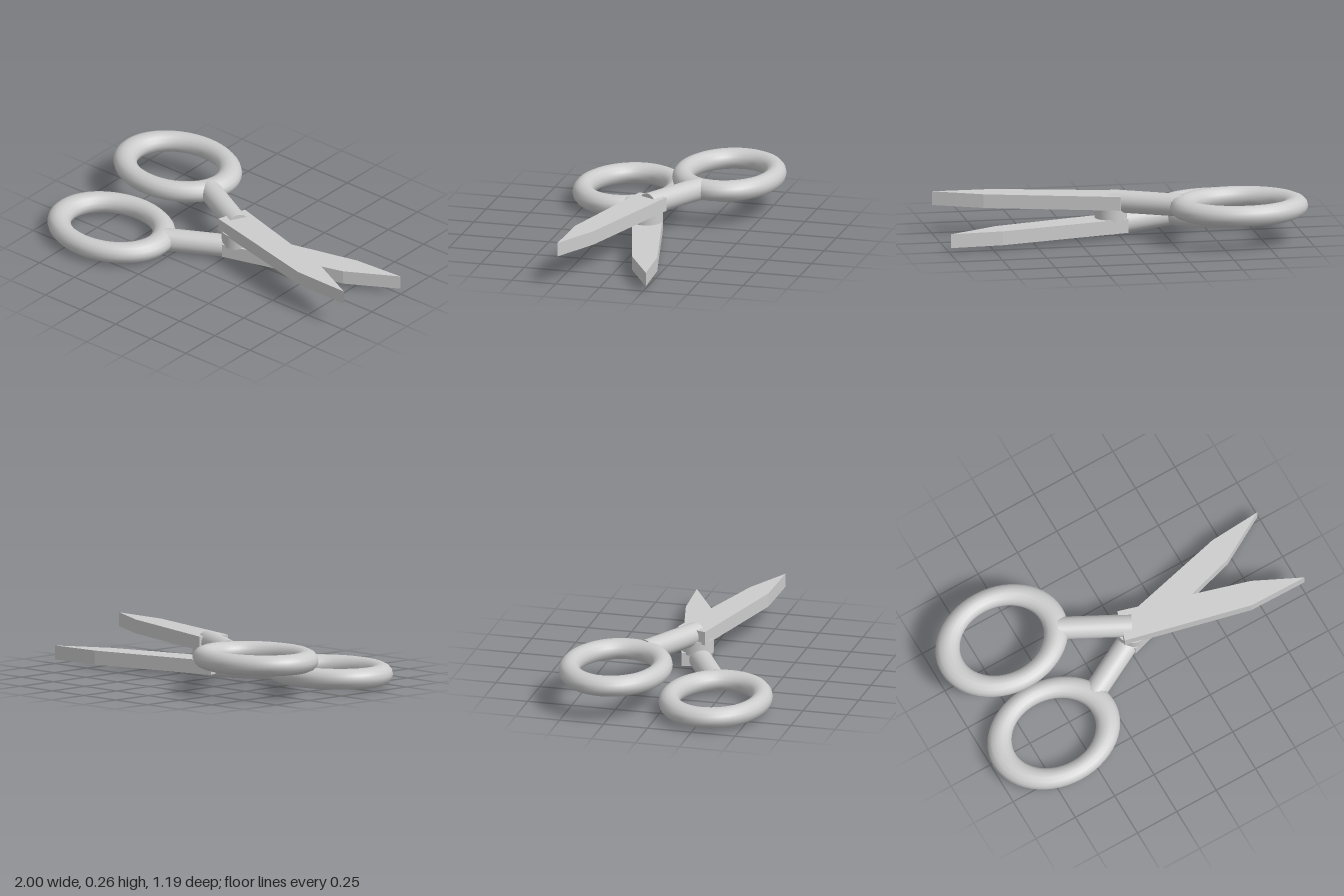
import * as THREE from 'three';

const steel = new THREE.MeshStandardMaterial({ color: 0xcccccc });
steel.name = 'steel';

function add(parent, name, geometry) {
  const mesh = new THREE.Mesh(geometry, steel);
  mesh.name = name;
  parent.add(mesh);
  return mesh;
}

// One half: oval finger ring, round shank and flat blade.
// side = -1 puts the ring at the back, +1 at the front.
function half(name, side, o) {
  const group = new THREE.Group();
  group.name = name;

  // finger ring, an oval torus lying flat
  const ring = new THREE.TorusGeometry(0.3125, 0.07, 14, 56);
  ring.rotateX(Math.PI / 2);
  ring.scale(1, 0.82, 0.806);
  add(group, 'fingerRing', ring).position.set(-0.618, o.ringY, side * 0.285);

  // shank from the ring to the pivot
  const a = new THREE.Vector3(-0.316, o.shankY, side * 0.195);
  const b = new THREE.Vector3(0.045, o.shankY, side * 0.005);
  const dir = b.clone().sub(a);
  const shank = add(group, 'shank', new THREE.CylinderGeometry(0.0625, 0.0625, dir.length(), 28));
  shank.position.copy(a).add(b).multiplyScalar(0.5);
  shank.quaternion.setFromUnitVectors(new THREE.Vector3(0, 1, 0), dir.normalize());

  // flat pointed blade crossing to the other side
  const shape = new THREE.Shape(o.blade.map(([x, z]) => new THREE.Vector2(x, -z)));
  const blade = new THREE.ExtrudeGeometry(shape, { depth: o.top - o.bottom, bevelEnabled: false });
  blade.rotateX(-Math.PI / 2);
  add(group, 'blade', blade).position.y = o.bottom;
  return group;
}

export function createModel() {
  const model = new THREE.Group();
  model.name = 'scissors';

  model.add(half('upperHalf', -1, {
    ringY: 0.198, shankY: 0.1975, bottom: 0.16, top: 0.237,
    blade: [[0.01, -0.104], [0.735, 0.11], [1, 0.24], [0.665, 0.235], [-0.04, 0.065]],
  }));
  model.add(half('lowerHalf', 1, {
    ringY: 0.067, shankY: 0.0635, bottom: 0.026, top: 0.104,
    blade: [[0.01, 0.094], [0.71, -0.104], [0.99, -0.262], [0.695, -0.244], [-0.04, -0.068]],
  }));

  // pivot between the blades
  add(model, 'pivot', new THREE.CylinderGeometry(0.09, 0.09, 0.08, 32)).position.set(0.045, 0.132, 0);
  return model;
}
